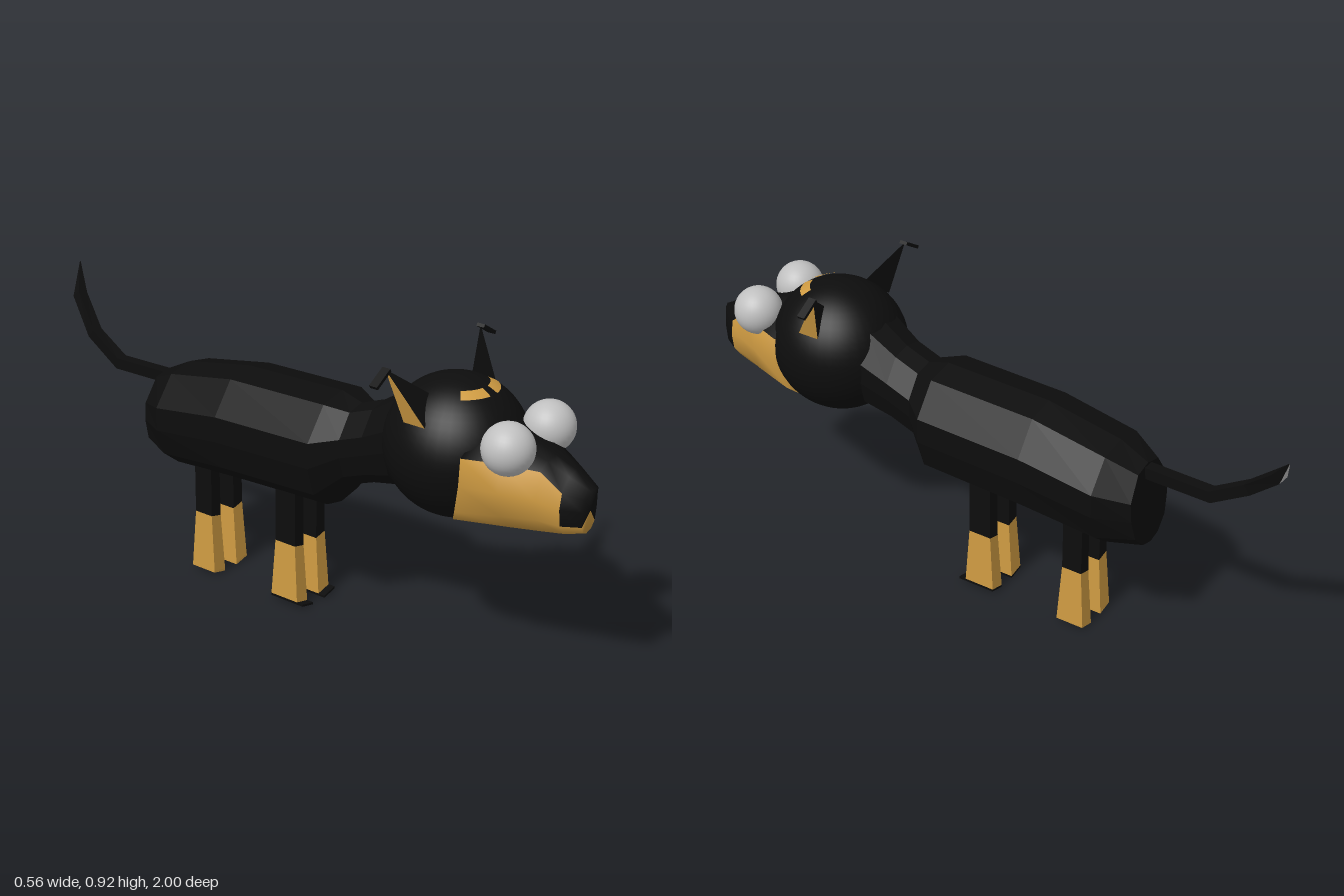
import * as THREE from 'three';

const V = (x, y, z) => new THREE.Vector3(x, y, z);
const mat = (name, color) => {
  const m = new THREE.MeshStandardMaterial({ color });
  m.name = name;
  return m;
};

export function createModel() {
  const black = mat('black coat', 0x0d0d0d);
  const tan = mat('tan markings', 0xcf9b42);
  const grey = mat('pale grey', 0xc0c0c0);
  const mats = [black, tan, grey];
  const model = new THREE.Group();

  const add = (name, geo, material, parent = model) => {
    const mesh = new THREE.Mesh(geo, material);
    mesh.name = name;
    parent.add(mesh);
    return mesh;
  };

  // Skin over closed rings (counter-clockwise along the travel); pick(i, j) gives
  // the colour index of a quad, and caps use i = -1 and i = last ring
  const loft = (name, rings, pick, smooth = false, parent = model) => {
    const n = rings[0].length, last = rings.length - 1;
    const pts = rings.flat();
    const faces = mats.map(() => []);
    for (let i = 0; i < last; i++) for (let j = 0; j < n; j++) {
      const a = i * n + j, b = i * n + (j + 1) % n;
      faces[pick(i, j)].push(a, b, b + n, a, b + n, a + n);
    }
    for (const [i, r] of [[-1, 0], [last, last]]) {
      const mid = rings[r].reduce((s, p) => s.add(p), V(0, 0, 0)).divideScalar(n);
      const c = pts.push(mid) - 1;
      for (let j = 0; j < n; j++) {
        const a = r * n + j, b = r * n + (j + 1) % n;
        faces[pick(i, j)].push(...(r ? [c, a, b] : [c, b, a]));
      }
    }
    let geo = new THREE.BufferGeometry().setFromPoints(pts);
    geo.setIndex(faces.flat());
    let start = 0;
    faces.forEach((f, k) => {
      if (f.length) geo.addGroup(start, f.length, k);
      start += f.length;
    });
    if (!smooth) geo = geo.toNonIndexed();
    geo.computeVertexNormals();
    return add(name, geo, mats, parent);
  };

  // Full ring from a half outline running top, +x side, bottom
  const mirrorRing = half => [
    ...half.map(([x, y, z]) => V(-x, y, z)),
    ...half.slice(1, -1).reverse().map(([x, y, z]) => V(x, y, z)),
  ];

  // Body and neck: z, half width, bottom, top
  const outline = [[0, 1], [0.55, 0.9], [1, 0.35], [1, -0.1], [0.82, -0.62], [0.42, -0.92], [0, -1]];
  const body = [
    [-0.54, 0.10, 0.35, 0.61], [-0.44, 0.155, 0.33, 0.655], [-0.2, 0.16, 0.345, 0.70],
    [0.15, 0.16, 0.36, 0.71], [0.22, 0.105, 0.44, 0.69], [0.3, 0.105, 0.47, 0.72], [0.39, 0.12, 0.49, 0.78],
  ];
  loft('body and neck', body.map(([z, w, lo, hi], i) => mirrorRing(outline.map(([x, y]) =>
    [x * w, (lo + hi) / 2 + y * (hi - lo) / 2, z + (i ? 0 : y * 0.01)]))), () => 0);

  // Head
  const head = new THREE.Group();
  head.name = 'head';
  model.add(head);
  const skull = add('skull', new THREE.SphereGeometry(1, 40, 28), black, head);
  skull.position.set(0, 0.655, 0.55);
  skull.scale.set(0.2, 0.205, 0.21);

  // Muzzle: half outlines from the brow to the nose
  const muzzle = [
    [[0, 0.79, 0.68], [0.08, 0.765, 0.685], [0.164, 0.70, 0.675], [0.17, 0.62, 0.675], [0.148, 0.53, 0.65], [0.08, 0.468, 0.60], [0, 0.449, 0.58]],
    [[0, 0.745, 0.78], [0.06, 0.735, 0.78], [0.125, 0.70, 0.78], [0.14, 0.62, 0.78], [0.12, 0.545, 0.78], [0.07, 0.495, 0.78], [0, 0.48, 0.78]],
    [[0, 0.71, 0.87], [0.04, 0.705, 0.87], [0.075, 0.685, 0.87], [0.097, 0.61, 0.87], [0.088, 0.55, 0.87], [0.055, 0.505, 0.87], [0, 0.494, 0.87]],
    [[0, 0.685, 0.935], [0.035, 0.675, 0.935], [0.06, 0.635, 0.93], [0.069, 0.59, 0.93], [0.062, 0.54, 0.93], [0.04, 0.51, 0.93], [0, 0.503, 0.93]],
    [[0, 0.65, 1.0], [0.018, 0.645, 0.993], [0.03, 0.62, 0.985], [0.035, 0.585, 0.982], [0.032, 0.54, 0.98], [0.02, 0.518, 0.977], [0, 0.51, 0.975]],
  ];
  loft('muzzle', muzzle.map(mirrorRing), (i, j) => {
    const strip = j < 6 ? j : 11 - j;
    return strip < 2 || (i >= 3 && strip < 4) ? 0 : 1;
  }, true, head);

  for (const s of [1, -1]) {
    const side = s > 0 ? 'left' : 'right';

    // Eye
    add(side + ' eye', new THREE.SphereGeometry(0.074, 32, 20), grey, head)
      .position.set(s * 0.1, 0.737, 0.783);

    // Brow marking lying on the skull
    const from = s > 0 ? Math.PI / 2 + 0.14 : Math.PI / 2 - 0.94;
    const brow = add(side + ' brow', new THREE.SphereGeometry(1.012, 10, 4, from, 0.8, 0.42, 0.16), tan, head);
    brow.position.copy(skull.position);
    brow.scale.copy(skull.scale);

    // Ear: three-sided spike, tan on the outer face
    const inner = V(s * 0.09, 0.82, 0.53), front = V(s * 0.175, 0.76, 0.565);
    const back = V(s * 0.175, 0.76, 0.495), tip = V(s * 0.222, 0.92, 0.465);
    const tri = (a, b, c) => (s > 0 ? [a, b, c] : [a, c, b]);
    const ear = new THREE.BufferGeometry().setFromPoints([
      ...tri(inner, front, tip), ...tri(back, inner, tip), ...tri(front, back, tip)]);
    ear.addGroup(0, 6, 0);
    ear.addGroup(6, 3, 1);
    ear.computeVertexNormals();
    add(side + ' ear', ear, mats, head);

    // Folded ear tip
    const fold = add(side + ' ear fold', new THREE.BoxGeometry(0.068, 0.01, 0.026), black, head);
    fold.position.set(s * 0.247, 0.902, 0.468);
    fold.rotation.z = -s * 0.55;
  }

  // Rectangular ring for parts rising along y; the floor may slope outwards
  const rect = (s, xi, xo, yi, yo, z0, z1) => {
    const [xa, ya, xb, yb] = s > 0 ? [xi, yi, xo, yo] : [-xo, yo, -xi, yi];
    return [V(xb, yb, z1), V(xb, yb, z0), V(xa, ya, z0), V(xa, ya, z1)];
  };

  // Legs with tan socks
  for (const [pair, z0, z1] of [['front', -0.045, 0.03], ['hind', -0.365, -0.3]]) {
    for (const s of [1, -1]) {
      const leg = new THREE.Group();
      leg.name = `${pair} ${s > 0 ? 'left' : 'right'} leg`;
      model.add(leg);
      const knee = rect(s, 0.03, 0.071, 0.19, 0.2, z0, z1);
      const ankle = rect(s, 0.027, 0.076, 0.006, 0.018, z0 - 0.013, z1 + 0.012);
      loft('upper leg', [knee, rect(s, 0.032, 0.07, 0.42, 0.42, z0, z1)], () => 0, false, leg);
      loft('sock', [ankle, knee], () => 1, false, leg);
      const toe = pair === 'front' ? 0.035 : 0.012;
      loft('sole', [rect(s, 0.027, 0.077, 0, 0.012, z0 - 0.013, z1 + toe),
        rect(s, 0.027, 0.077, 0.007, 0.019, z0 - 0.013, z1 + toe)], () => (pair === 'front' ? 0 : 1), false, leg);
    }
  }

  // Tail: square tube curling up to a point, pale under the tip
  const path = [V(0, 0.585, -0.5), V(0, 0.58, -0.735), V(0.005, 0.65, -0.85), V(0.045, 0.745, -0.95), V(0.1, 0.83, -1.0)];
  const widths = [0.018, 0.018, 0.017, 0.016, 0.001];
  loft('tail', path.map((p, i) => {
    const t = path[Math.min(i + 1, 4)].clone().sub(path[Math.max(i - 1, 0)]).normalize();
    const b = V(0, t.z, -t.y).normalize(), a = b.clone().cross(t);
    return [[1, 1], [-1, 1], [-1, -1], [1, -1]].map(([u, v]) =>
      p.clone().addScaledVector(a, u * widths[i]).addScaledVector(b, v * widths[i]));
  }), (i, j) => (i === 3 && j === 0 ? 2 : 0));

  return model;
}
